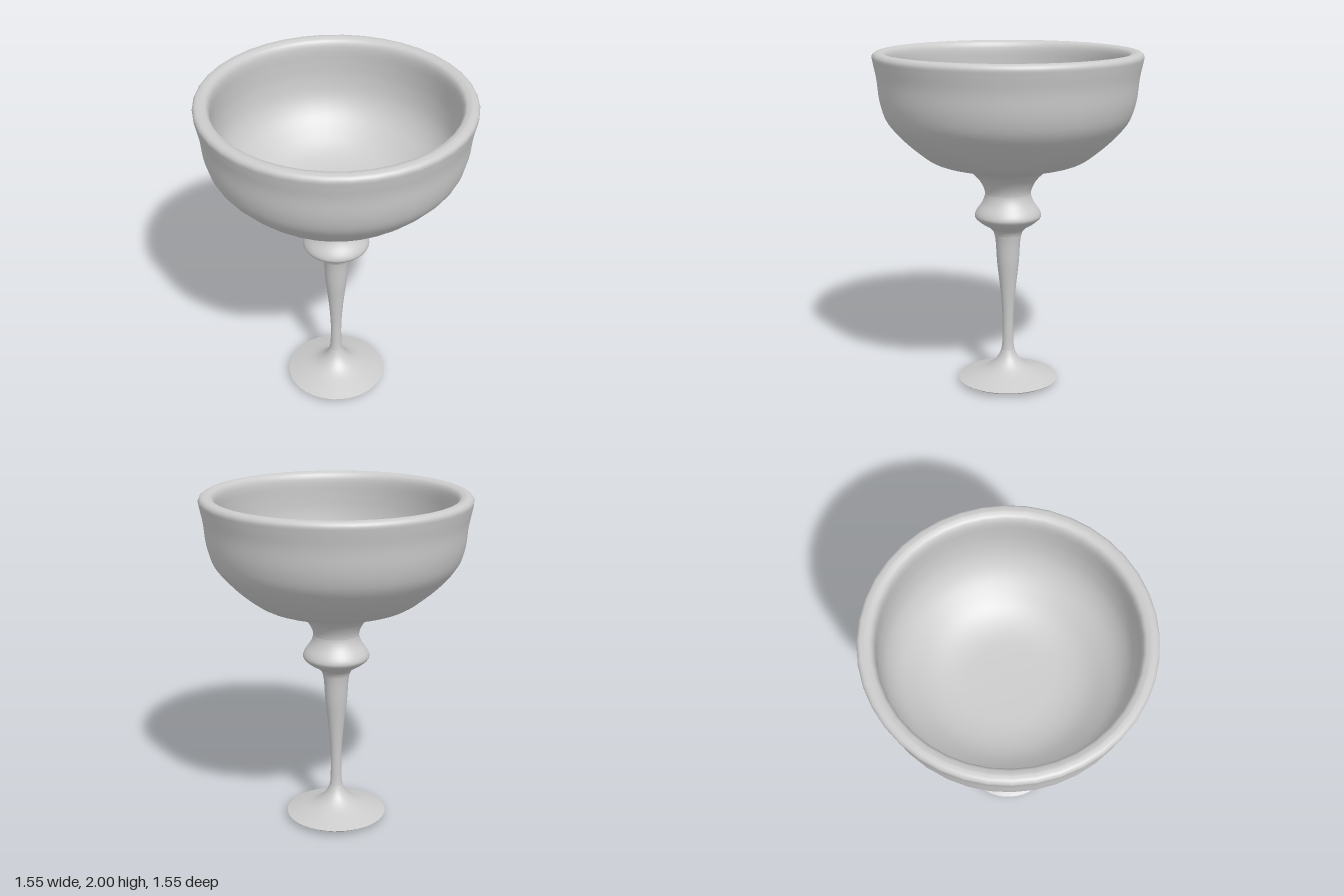
import * as THREE from 'three';

const SIDES = 40;
const material = new THREE.MeshStandardMaterial({ color: 0xcccccc });

// Smooth curve through [radius, height] pairs
const smooth = (pairs, perSpan = 4) =>
  new THREE.CatmullRomCurve3(pairs.map(([r, y]) => new THREE.Vector3(r, y, 0)), false, 'centripetal')
    .getPoints((pairs.length - 1) * perSpan)
    .map((p) => new THREE.Vector2(Math.max(p.x, 0), p.y));

function turned(name, points) {
  const mesh = new THREE.Mesh(new THREE.LatheGeometry(points, SIDES), material);
  mesh.name = name;
  return mesh;
}

export function createModel() {
  const group = new THREE.Group();
  group.name = 'goblet';

  // Outer silhouette, from the foot's edge up to the rim; the parts are cut from it
  const outer = [
    [0.30, 0.03], [0.24, 0.05], [0.13, 0.09], [0.07, 0.14], [0.04, 0.2],              // foot
    [0.033, 0.3], [0.034, 0.42], [0.046, 0.58], [0.065, 0.75], [0.08, 0.92],          // stem
    [0.10, 0.955], [0.16, 0.995], [0.195, 1.03], [0.19, 1.06], [0.15, 1.12], [0.135, 1.17], // knop
    [0.15, 1.22], [0.19, 1.275], [0.25, 1.318], [0.32, 1.336], [0.44, 1.37],          // bowl
    [0.54, 1.44], [0.64, 1.535], [0.705, 1.62], [0.737, 1.72], [0.752, 1.85],
    [0.77, 1.94], [0.774, 1.975], [0.76, 1.994], [0.73, 2.0],
  ];
  const perSpan = 4;
  const profile = smooth(outer, perSpan);
  const cut = (from, to) => profile.slice(from * perSpan, to * perSpan + 1);

  // Nearly flat underside closes the foot
  group.add(turned('footUnderside', smooth([[0, 0], [0.2, 0.008], [0.28, 0.018], [0.30, 0.03]])));
  group.add(turned('foot', cut(0, 4)));
  group.add(turned('stem', cut(4, 9)));
  group.add(turned('knop', cut(9, 15)));

  // Outer wall, rounded lip and deep hollow, which thins the wall towards the bottom
  const inside = smooth([
    [0.73, 2.0], [0.70, 1.988], [0.685, 1.955], [0.686, 1.85], [0.685, 1.75], [0.665, 1.635],
    [0.615, 1.54], [0.53, 1.455], [0.43, 1.385], [0.31, 1.346], [0.15, 1.335], [0, 1.333],
  ]);
  group.add(turned('bowl', [...cut(15, outer.length - 1), ...inside.slice(1)]));

  return group;
}
